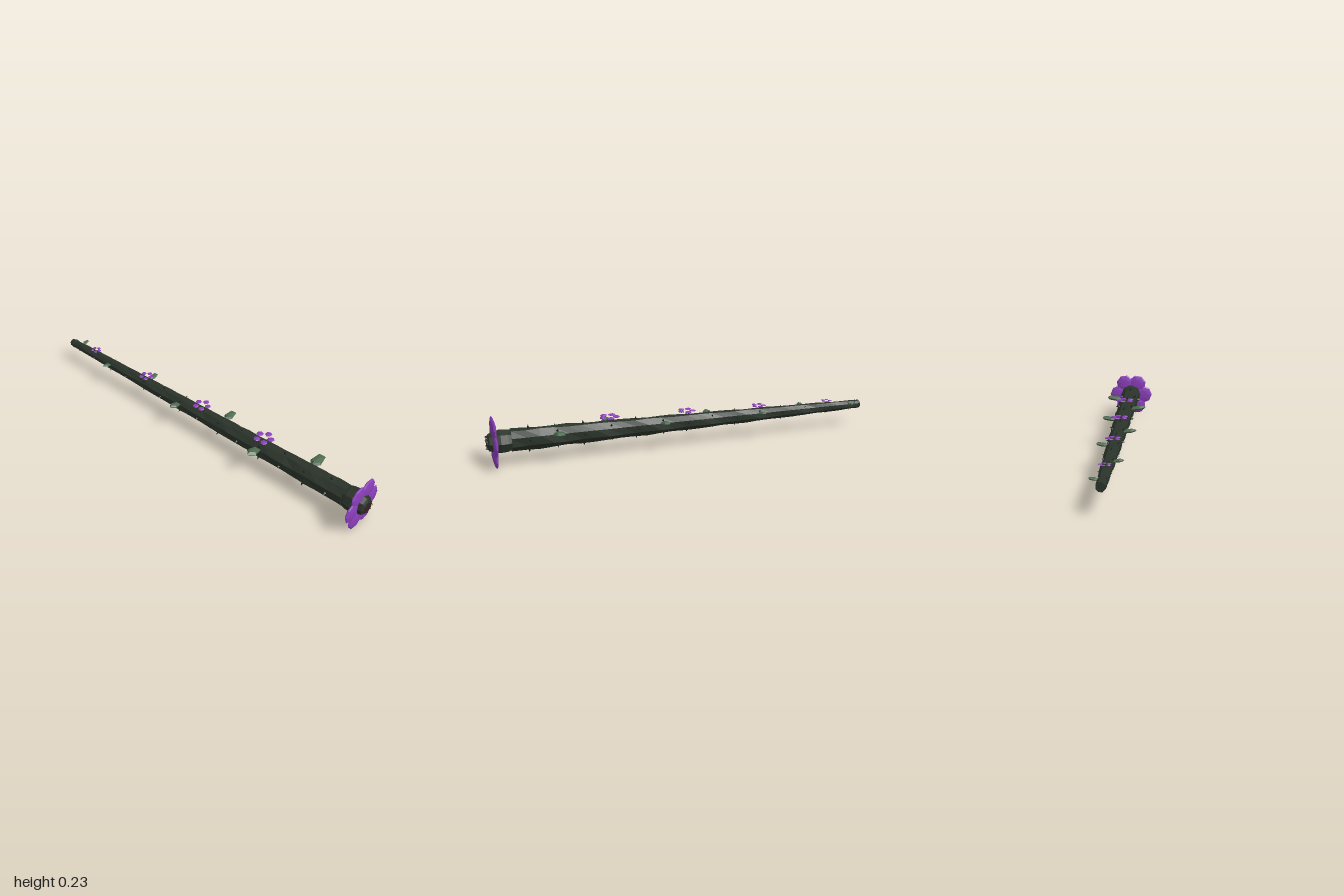
import * as THREE from 'three';

const mat = (name, color) => {
  const m = new THREE.MeshStandardMaterial({ color, flatShading: true });
  m.name = name;
  return m;
};

export function createModel() {
  const bark = mat('dark green bark', 0x2a332a);
  const thornMat = mat('thorn', 0x1c231c);
  const leafMat = mat('leaf green', 0x4d694f);
  const purple = mat('petal purple', 0x8a3fba);
  const mouth = mat('mouth brown', 0x35211f);

  const CY = 0.122; // height of the stem axis
  const radius = (z) => 0.021 + 0.034 * Math.pow((z + 1) / 1.88, 0.85);
  const root = new THREE.Group();
  root.name = 'floweringVine';
  const add = (parent, name, geo, material) => {
    const m = new THREE.Mesh(geo, material);
    m.name = name;
    parent.add(m);
    return m;
  };

  // Tapered, slightly lumpy stem
  const stem = new THREE.CylinderGeometry(1, 1, 1.88, 8, 28);
  stem.rotateX(Math.PI / 2).rotateZ(Math.PI / 8).translate(0, 0, -0.06);
  const p = stem.attributes.position;
  for (let i = 0; i < p.count; i++) {
    const x = p.getX(i), y = p.getY(i), z = p.getZ(i);
    const wobble = 1 + 0.05 * Math.sin(z * 23.6 + 3 * Math.atan2(y, x)) + 0.02 * Math.sin(z * 57 + x * 5);
    const r = radius(z) * wobble;
    p.setXYZ(i, x * r, y * r + CY, z);
  }
  stem.computeVertexNormals();
  add(root, 'stem', stem, bark);

  // Swollen head at the front end, with its open mouth
  const profile = [[0, 0.85], [0.045, 0.86], [0.056, 0.895], [0.059, 0.93], [0.05, 0.962], [0.044, 0.982], [0.03, 0.99]]
    .map(([r, z]) => new THREE.Vector2(r, z));
  const head = new THREE.LatheGeometry(profile, 8).rotateX(Math.PI / 2);
  add(root, 'head', head, bark).position.y = CY;
  const disc = add(root, 'mouth', new THREE.CylinderGeometry(0.03, 0.03, 0.008, 7).rotateX(Math.PI / 2), mouth);
  disc.position.set(0, CY, 0.989);
  for (let i = 0; i < 8; i++) {
    const a = (i / 8) * Math.PI * 2;
    const tooth = add(root, 'tooth', new THREE.ConeGeometry(0.006, 0.016, 4).rotateX(Math.PI / 2), thornMat);
    tooth.position.set(0.031 * Math.cos(a), CY + 0.031 * Math.sin(a), 0.992);
  }

  // A flower lies in its own XY plane, facing +z
  const flower = (name, count, dist, r, thick, seg) => {
    const g = new THREE.Group();
    g.name = name;
    for (let i = 0; i < count; i++) {
      const a = (i / count) * Math.PI * 2;
      const petal = add(g, 'petal', new THREE.SphereGeometry(r, seg, 6).rotateX(Math.PI / 2), purple);
      petal.scale.z = thick / r;
      petal.rotation.z = a;
      petal.position.set(dist * Math.cos(a), dist * Math.sin(a), 0);
    }
    root.add(g);
    return g;
  };
  flower('largeFlower', 6, 0.075, 0.053, 0.011, 8).position.set(0, 0.12, 0.958);

  // Small blossoms along the top
  [[0.4, 0.19, 1], [0, 0.181, 0.9], [-0.4, 0.17, 0.74], [-0.8, 0.158, 0.56]].forEach(([z, y, s]) => {
    const f = flower('smallFlower', 5, 0.035, 0.018, 0.005, 6);
    f.rotation.x = -Math.PI / 2;
    f.scale.setScalar(s);
    f.position.set(0, y, z);
  });

  // Alternating leaves on both sides, shrinking towards the tip
  for (let i = 0; i < 7; i++) {
    const z = 0.66 - i * 0.265;
    const side = i % 2 ? -1 : 1;
    const s = 1 - i * 0.09;
    const leaf = add(root, 'leaf', new THREE.SphereGeometry(1, 5, 4), leafMat);
    leaf.scale.set(0.05 * s, 0.014 * s, 0.031 * s);
    leaf.rotation.z = side * 0.15;
    leaf.position.set(side * (radius(z) + 0.026 * s), CY + 0.028 * s, z);
  }

  // Rings of short thorns, turned between neighbouring rings
  for (let i = 0; i < 14; i++) {
    const z = 0.795 - i * 0.1325;
    const s = 1 - i * 0.045;
    for (let k = 0; k < 4; k++) {
      const a = (k * Math.PI) / 2 + (i % 2 ? Math.PI / 4 : 0.1);
      const thorn = add(root, 'thorn', new THREE.ConeGeometry(0.008 * s, 0.022 * s, 4), thornMat);
      const d = radius(z) + 0.004 * s;
      thorn.position.set(d * Math.cos(a), CY + d * Math.sin(a), z);
      thorn.rotation.z = a - Math.PI / 2;
    }
  }

  // Small knob closing the thin end
  const tip = add(root, 'tip', new THREE.SphereGeometry(0.024, 7, 5), bark);
  tip.position.set(0, CY, -0.977);

  return root;
}
